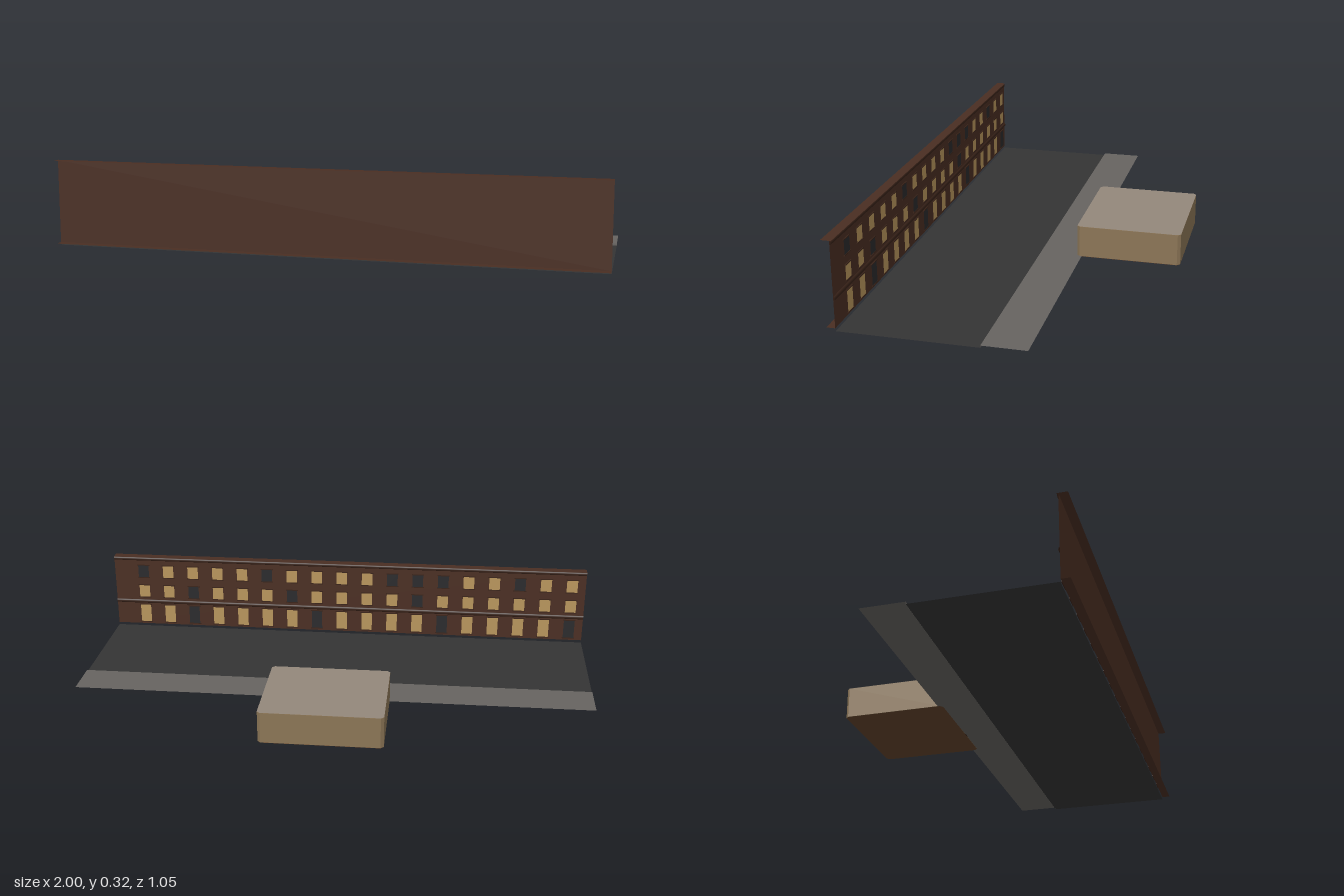
import * as THREE from 'three';

const mat = (name, color, side = THREE.DoubleSide) => {
  const m = new THREE.MeshStandardMaterial({ color, side });
  m.name = name;
  return m;
};

export function createModel() {
  const model = new THREE.Group();
  const brick = mat('brick brown', 0x4a2e22);
  const trim = mat('dark trim', 0x382218);
  const asphalt = mat('asphalt', 0x343434);
  const paving = mat('paving grey', 0x666360);
  const lit = mat('lit window', 0xb8955c, THREE.FrontSide);
  const unlit = mat('dark window', 0x2a2a2c, THREE.FrontSide);
  const plaster = mat('tan plaster', 0x8b7556);
  const roofing = mat('roof grey', 0x93877b);
  const wood = mat('dark wood', 0x62432a);
  const cream = mat('pale frame', 0xa39a88);

  const add = (name, geometry, material, x = 0, y = 0, z = 0, parent = model) => {
    const mesh = new THREE.Mesh(geometry, material);
    mesh.name = name;
    mesh.position.set(x, y, z);
    parent.add(mesh);
    return mesh;
  };
  // Horizontal sheet facing up, between two z values
  const sheet = (name, material, y, z0, z1) =>
    add(name, new THREE.PlaneGeometry(2, z1 - z0).rotateX(-Math.PI / 2), material, 0, y, (z0 + z1) / 2);

  // Street
  sheet('road', asphalt, 0.001, 0, 0.49);
  sheet('sidewalk', paving, 0.009, -0.157, 0);
  add('curb', new THREE.PlaneGeometry(2, 0.009), paving, 0, 0.0045, 0);

  // Long facade: an open sheet with returns at the top and the foot
  const wallZ = 0.491, foot = 0.011, top = 0.318;
  add('facadeWall', new THREE.PlaneGeometry(2, top - foot).rotateY(Math.PI), brick, 0, (top + foot) / 2, wallZ);
  sheet('facadeTop', brick, top, 0.485, 0.522);
  sheet('facadeFoot', brick, foot, wallZ, 0.522);

  // Half-round mouldings along the street side
  const moulding = (name, y, r) => {
    const g = new THREE.CylinderGeometry(r, r, 2, 8, 1, true, 0, Math.PI);
    g.rotateZ(Math.PI / 2).rotateX(-Math.PI / 2);
    g.scale(1, 1, 0.6);
    add(name, g, trim, 0, y, wallZ);
  };
  moulding('floorMoulding', 0.115, 0.008);
  moulding('corniceMoulding', 0.309, 0.007);

  // Windows, listed from +x to -x; 1 is lit
  const rows = [
    { y0: 0.022, y1: 0.1, pattern: '110111101111011110' },
    { y0: 0.137, y1: 0.19, pattern: '110111011110111111' },
    { y0: 0.227, y1: 0.28, pattern: '011110111100011011' },
  ];
  const facadeWindows = new THREE.Group();
  facadeWindows.name = 'facadeWindows';
  model.add(facadeWindows);
  rows.forEach(({ y0, y1, pattern }) => {
    const pane = new THREE.PlaneGeometry(0.045, y1 - y0).rotateY(Math.PI);
    const ledge = new THREE.BoxGeometry(0.052, 0.003, 0.004);
    [...pattern].forEach((c, i) => {
      const x = 0.875 - i * 0.107;
      add('windowPane', pane, c === '1' ? lit : unlit, x, (y0 + y1) / 2, wallZ - 0.003, facadeWindows);
      add('windowSill', ledge, trim, x, y0 - 0.0015, wallZ - 0.003, facadeWindows);
      add('windowLintel', ledge, trim, x, y1 + 0.0015, wallZ - 0.003, facadeWindows);
    });
  });

  // Small house with chamfered corners
  const house = new THREE.Group();
  house.name = 'house';
  house.position.z = -0.331;
  model.add(house);
  const w = 0.225, d = 0.193, c = 0.011;
  const plan = new THREE.Shape([
    [w - c, -d], [w, -d + c], [w, d - c], [w - c, d],
    [-w + c, d], [-w, d - c], [-w, -d + c], [-w + c, -d],
  ].map(([x, y]) => new THREE.Vector2(x, y)));
  const body = new THREE.ExtrudeGeometry(plan, { depth: 0.117, bevelEnabled: false });
  body.rotateX(-Math.PI / 2);
  add('houseWalls', body, plaster, 0, 0.009, 0, house);
  const cap = new THREE.ShapeGeometry(plan);
  add('houseRoof', cap.clone().rotateX(-Math.PI / 2), roofing, 0, 0.127, 0, house);
  add('houseFloor', cap.clone().rotateX(Math.PI / 2), wood, 0, 0.008, 0, house);

  // House door and wide window on the street side
  add('door', new THREE.BoxGeometry(0.052, 0.068, 0.004), trim, 0.086, 0.043, d, house);
  add('houseWindowFrame', new THREE.BoxGeometry(0.14, 0.052, 0.003), trim, -0.06, 0.061, d, house);
  for (let i = 0; i < 3; i++) {
    add('houseWindowPane', new THREE.BoxGeometry(0.036, 0.036, 0.004), i === 1 ? unlit : cream,
      -0.103 + i * 0.043, 0.061, d + 0.0005, house);
  }
  return model;
}
